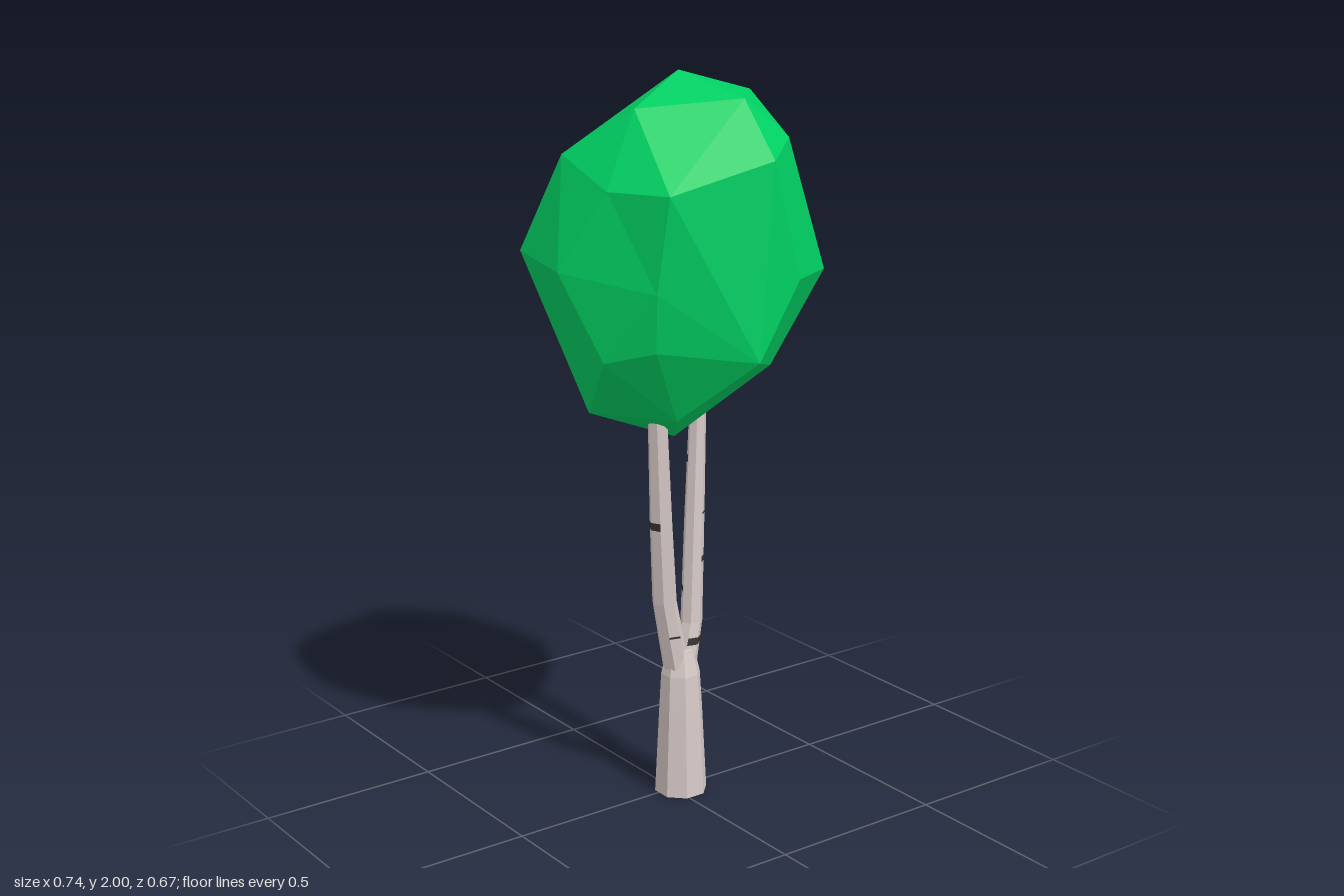
import * as THREE from 'three';
import { ConvexGeometry } from 'three/addons/geometries/ConvexGeometry.js';

// Corner points of the faceted crown
const CROWN = [
  [0.01, 2.0, 0.01], [-0.17, 1.92, 0.07], [0.115, 1.92, -0.13], [0.22, 1.94, 0.04], [0.08, 1.94, 0.195],
  [-0.03, 1.74, -0.25], [-0.21, 1.69, -0.245], [-0.29, 1.8, -0.08], [-0.29, 1.73, 0.12], [-0.21, 1.73, 0.275],
  [0.07, 1.8, 0.333], [0.185, 1.84, 0.245], [0.335, 1.74, 0.02], [0.3, 1.74, -0.09], [0.185, 1.74, -0.22],
  [-0.34, 1.54, -0.205], [-0.37, 1.52, 0.016], [-0.22, 1.48, 0.235], [0.16, 1.49, 0.328], [0.335, 1.48, 0.215],
  [0.363, 1.545, 0], [0.295, 1.515, -0.19], [0.14, 1.53, -0.335], [-0.125, 1.5, -0.31],
  [-0.205, 1.325, 0.21], [0.03, 1.29, 0.332], [0.17, 1.24, 0.2], [0.325, 1.335, 0.06], [0.365, 1.235, -0.09],
  [0.195, 1.165, -0.09], [0.12, 1.35, -0.235], [-0.22, 1.35, -0.245], [-0.29, 1.29, 0.1],
  [-0.1, 1.12, 0.155], [-0.215, 1.11, -0.08], [0.02, 1.11, -0.185], [-0.01, 1.035, 0.02],
];

// Triangulate the points as seen from the crown's centre, then restore their true distances
function crownGeometry() {
  const real = CROWN.map((p) => new THREE.Vector3(...p));
  const onSphere = real.map((p) => new THREE.Vector3(p.x, (p.y - 1.52) * 0.72, p.z).normalize());
  const geo = new ConvexGeometry(onSphere);
  const pos = geo.attributes.position;
  const v = new THREE.Vector3();
  for (let i = 0; i < pos.count; i++) {
    v.fromBufferAttribute(pos, i);
    let best = 0;
    onSphere.forEach((q, j) => {
      if (q.distanceToSquared(v) < onSphere[best].distanceToSquared(v)) best = j;
    });
    pos.setXYZ(i, real[best].x, real[best].y, real[best].z);
  }
  geo.computeVertexNormals();
  return geo;
}

// Skin horizontal rings [x, y, z, radius]; facets from..to leave a partial wall
function loft(rings, sides, from = 0, to = sides, topCap = false) {
  const out = [];
  const at = ([x, y, z, r], i) => {
    const a = ((i + 0.5) / sides) * Math.PI * 2;
    return [x + r * Math.cos(a), y, z + r * Math.sin(a)];
  };
  for (let k = 0; k < rings.length - 1; k++) {
    for (let i = from; i < to; i++) {
      const a = at(rings[k], i), b = at(rings[k], i + 1);
      const c = at(rings[k + 1], i + 1), d = at(rings[k + 1], i);
      out.push(...a, ...d, ...c, ...a, ...c, ...b);
    }
  }
  if (topCap) {
    const hi = rings[rings.length - 1];
    for (let i = from; i < to; i++) out.push(...hi.slice(0, 3), ...at(hi, i + 1), ...at(hi, i));
  }
  const geo = new THREE.BufferGeometry();
  geo.setAttribute('position', new THREE.Float32BufferAttribute(out, 3));
  geo.computeVertexNormals();
  return geo;
}

// Ring of a path at height y, slightly enlarged to sit on the bark
function ringAt(path, y) {
  let k = 0;
  while (k < path.length - 2 && path[k + 1][1] < y) k++;
  const t = (y - path[k][1]) / (path[k + 1][1] - path[k][1]);
  const ring = path[k].map((v, i) => v + (path[k + 1][i] - v) * t);
  ring[3] += 0.0015;
  return ring;
}

export function createModel() {
  const bark = new THREE.MeshStandardMaterial({ color: 0xd6c9c6, flatShading: true, side: THREE.DoubleSide });
  bark.name = 'paleBark';
  const dark = new THREE.MeshStandardMaterial({ color: 0x35302f, flatShading: true, side: THREE.DoubleSide });
  dark.name = 'darkBark';
  const leaf = new THREE.MeshStandardMaterial({ color: 0x00cf62, flatShading: true });
  leaf.name = 'leafGreen';

  const tree = new THREE.Group();
  tree.name = 'tree';
  const add = (name, geo, mat) => {
    const mesh = new THREE.Mesh(geo, mat);
    mesh.name = name;
    tree.add(mesh);
  };

  add('crown', crownGeometry(), leaf);

  // Trunk, open underneath, and the two limbs of the fork
  const trunk = [[0.021, 0, 0.01, 0.074], [0.021, 0.25, 0.009, 0.061], [0.021, 0.35, 0.008, 0.055], [0.022, 0.42, 0.006, 0.038]];
  const rightLimb = [[0.005, 0.37, 0.008, 0.037], [-0.038, 0.57, 0.014, 0.034], [-0.061, 0.8, 0.03, 0.031], [-0.085, 1.12, 0.047, 0.026]];
  const leftLimb = [[0.035, 0.37, 0.004, 0.037], [0.064, 0.49, 0.0, 0.031], [0.082, 0.8, -0.011, 0.028], [0.101, 1.115, -0.022, 0.023]];
  add('trunk', loft(trunk, 8, 0, 8, true), bark);
  add('rightLimb', loft(rightLimb, 7, 0, 7, true), bark);
  add('leftLimb', loft(leftLimb, 7, 0, 7, true), bark);

  // Dark bark marks: path, sides, height, thickness, first and last facet
  const marks = [
    [trunk, 8, 0.25, 0.006, -1, 0],
    [rightLimb, 7, 0.8, 0.022, 2, 5], [rightLimb, 7, 0.47, 0.006, 1, 2],
    [leftLimb, 7, 0.67, 0.016, -2, 1], [leftLimb, 7, 0.585, 0.016, -4, 0],
    [leftLimb, 7, 0.44, 0.02, -1, 2], [leftLimb, 7, 0.8, 0.006, 0, 1],
    [leftLimb, 7, 0.95, 0.02, 3, 5],
  ];
  for (const [path, sides, y, h, from, to] of marks) {
    add('barkMark', loft([ringAt(path, y - h / 2), ringAt(path, y + h / 2)], sides, from, to), dark);
  }
  return tree;
}
